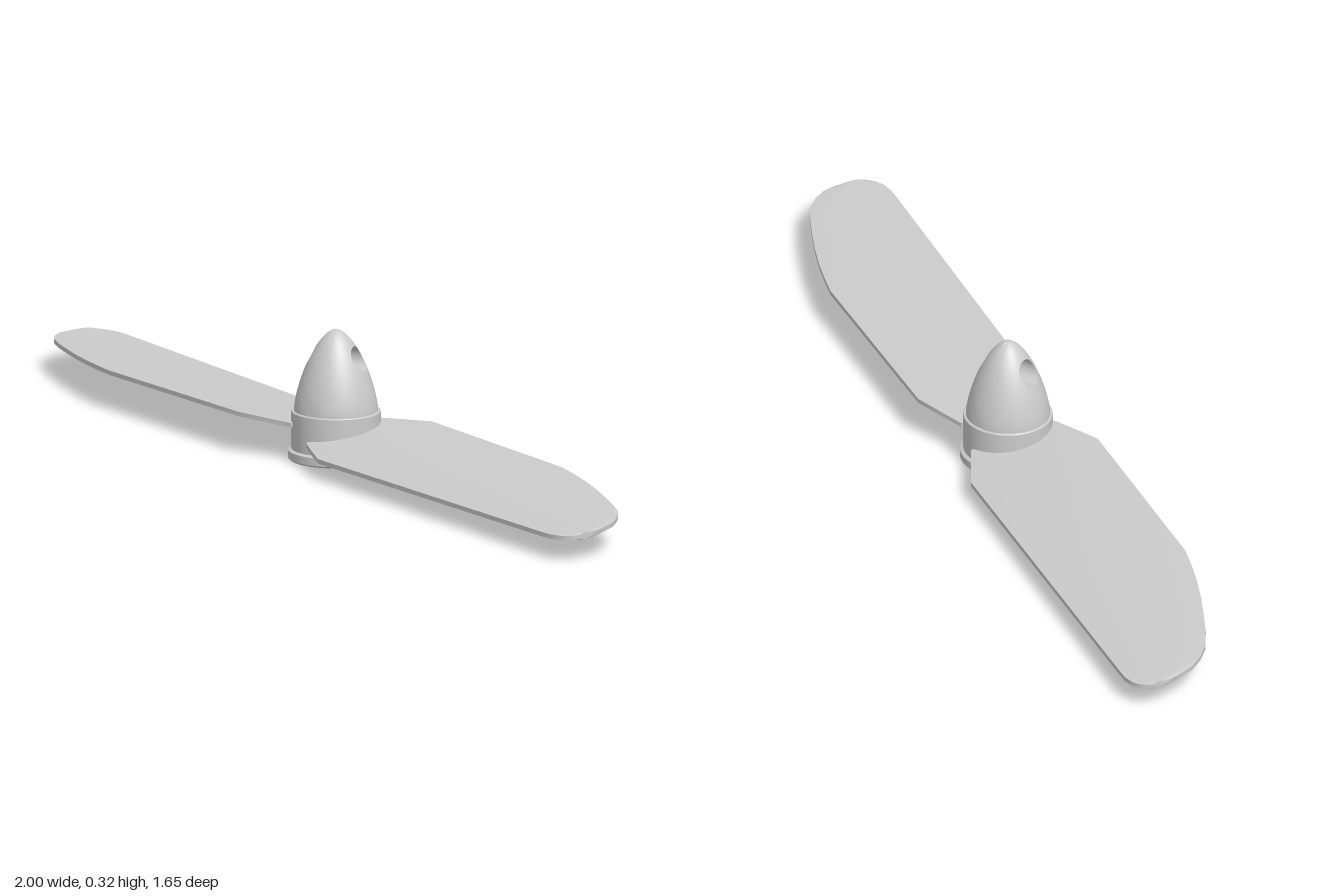
import * as THREE from 'three';
import { mergeGeometries, mergeVertices, toCreasedNormals } from 'three/addons/utils/BufferGeometryUtils.js';

const material = new THREE.MeshStandardMaterial({ color: 0xcccccc });

const BASE_Y = 0.12, TOP_Y = 0.32;      // spinner extent
const PIN_Y = 0.25, PIN_R = 0.03;       // cross hole through the spinner

// Skins a list of closed rings, each an array of [x, y, z]
function loft(rings) {
  const n = rings[0].length, index = [];
  for (let i = 0; i < rings.length - 1; i++) {
    for (let j = 0; j < n; j++) {
      const k = (j + 1) % n;
      const a = i * n + j, b = i * n + k, c = a + n, d = b + n;
      index.push(a, b, c, b, d, c);
    }
  }
  const g = new THREE.BufferGeometry();
  g.setAttribute('position', new THREE.Float32BufferAttribute(rings.flat(2), 3));
  g.setIndex(index);
  return g;
}

function named(geometry, name) {
  const mesh = new THREE.Mesh(geometry, material);
  mesh.name = name;
  return mesh;
}

// Radius of the bullet-shaped spinner at height y
function spinnerRadius(y) {
  const h = THREE.MathUtils.clamp((y - BASE_Y) / (TOP_Y - BASE_Y), 0, 1);
  return 0.102 * Math.pow(1 - Math.pow(h, 1.4), 0.6);
}

function createSpinner() {
  const SIDES = 64, STEPS = 14;
  const rings = [];
  // Half shell: rings grow from the pin hole to the edge of the half
  for (let i = 0; i <= STEPS; i++) {
    const t = i / STEPS, ring = [];
    for (let j = 0; j < SIDES; j++) {
      const a = (j / SIDES) * Math.PI * 2, c = Math.cos(a), s = Math.sin(a);
      const holeY = PIN_Y + PIN_R * s;
      const holeTheta = Math.asin((PIN_R * c) / spinnerRadius(holeY));
      const m = Math.max(Math.abs(c), Math.abs(s));
      const edgeTheta = (c / m) * Math.PI / 2;
      const edgeY = PIN_Y + (s / m) * (s > 0 ? TOP_Y - PIN_Y : PIN_Y - BASE_Y);
      const theta = THREE.MathUtils.lerp(holeTheta, edgeTheta, t);
      const y = THREE.MathUtils.lerp(holeY, edgeY, t);
      const r = spinnerRadius(y);
      ring.push([r * Math.cos(theta), y, r * Math.sin(theta)]);
    }
    rings.push(ring);
  }
  const half = loft(rings);
  const shell = mergeVertices(mergeGeometries([half, half.clone().rotateY(Math.PI)]), 1e-5);
  shell.computeVertexNormals();

  // Wall of the cross hole
  const rim = rings[0];
  const wall = loft([rim.map(([x, y, z]) => [-x, y, z]), rim]);
  wall.computeVertexNormals();

  const group = new THREE.Group();
  group.name = 'spinner';
  group.add(named(shell, 'spinnerShell'), named(wall, 'pinHoleWall'));
  return group;
}

// Flanged hub with a blind shaft bore underneath
function createHub() {
  const profile = [
    [0, 0.1], [0.03, 0.1], [0.03, 0], [0.112, 0], [0.116, 0.004], [0.116, 0.023],
    [0.108, 0.027], [0.108, 0.118], [0.106, 0.12], [0.095, 0.12],
  ].map(([r, y]) => new THREE.Vector2(r, y));
  return named(toCreasedNormals(new THREE.LatheGeometry(profile, 64), 0.5), 'hub');
}

// Blade stations: distance along the blade, high curved edge, low straight edge
const STATIONS = [
  [0.035, 0.107, -0.109], [0.1, 0.137, -0.135], [0.167, 0.167, -0.161],
  [0.35, 0.169, -0.161], [0.55, 0.171, -0.161], [0.734, 0.173, -0.161],
  [0.8, 0.163, -0.161], [0.873, 0.149, -0.161], [0.95, 0.13, -0.161],
  [1.024, 0.108, -0.161], [1.09, 0.087, -0.161], [1.152, 0.062, -0.161],
  [1.19, 0.034, -0.16], [1.22, 0.002, -0.152], [1.238, -0.034, -0.139],
  [1.248, -0.065, -0.124], [1.251, -0.084, -0.108],
];

function createBlade() {
  const N = 10;
  const rings = STATIONS.map(([u, hi, lo]) => {
    const pitch = 0.17 - 0.065 * u;
    const side = (sign) => Array.from({ length: N + 1 }, (_, k) => {
      const s = -sign * (1 - (2 * k) / N) * -1;        // +1 high edge, -1 low edge
      const v = (hi + lo) / 2 + (s * (hi - lo)) / 2;
      const halfThickness = 0.0085 * (1 - 0.35 * s ** 4);
      const y = 0.07 + pitch * v + sign * halfThickness;
      return [0.818 * u + 0.575 * v, y, 0.575 * u - 0.818 * v];
    });
    return [...side(1), ...side(-1)];
  });
  // Close both ends on their centres
  const collapse = (ring) => {
    const mid = [0, 1, 2].map((c) => ring.reduce((sum, p) => sum + p[c], 0) / ring.length);
    return ring.map(() => mid);
  };
  rings.unshift(collapse(rings[0]));
  rings.push(collapse(rings[rings.length - 1]));
  return toCreasedNormals(loft(rings), 0.6);
}

export function createModel() {
  const model = new THREE.Group();
  model.name = 'propeller';
  model.add(createHub(), createSpinner());

  const bladeGeometry = createBlade();
  ['leftBlade', 'rightBlade'].forEach((name, i) => {
    const blade = named(bladeGeometry, name);
    blade.rotation.y = i * Math.PI;
    model.add(blade);
  });
  return model;
}
